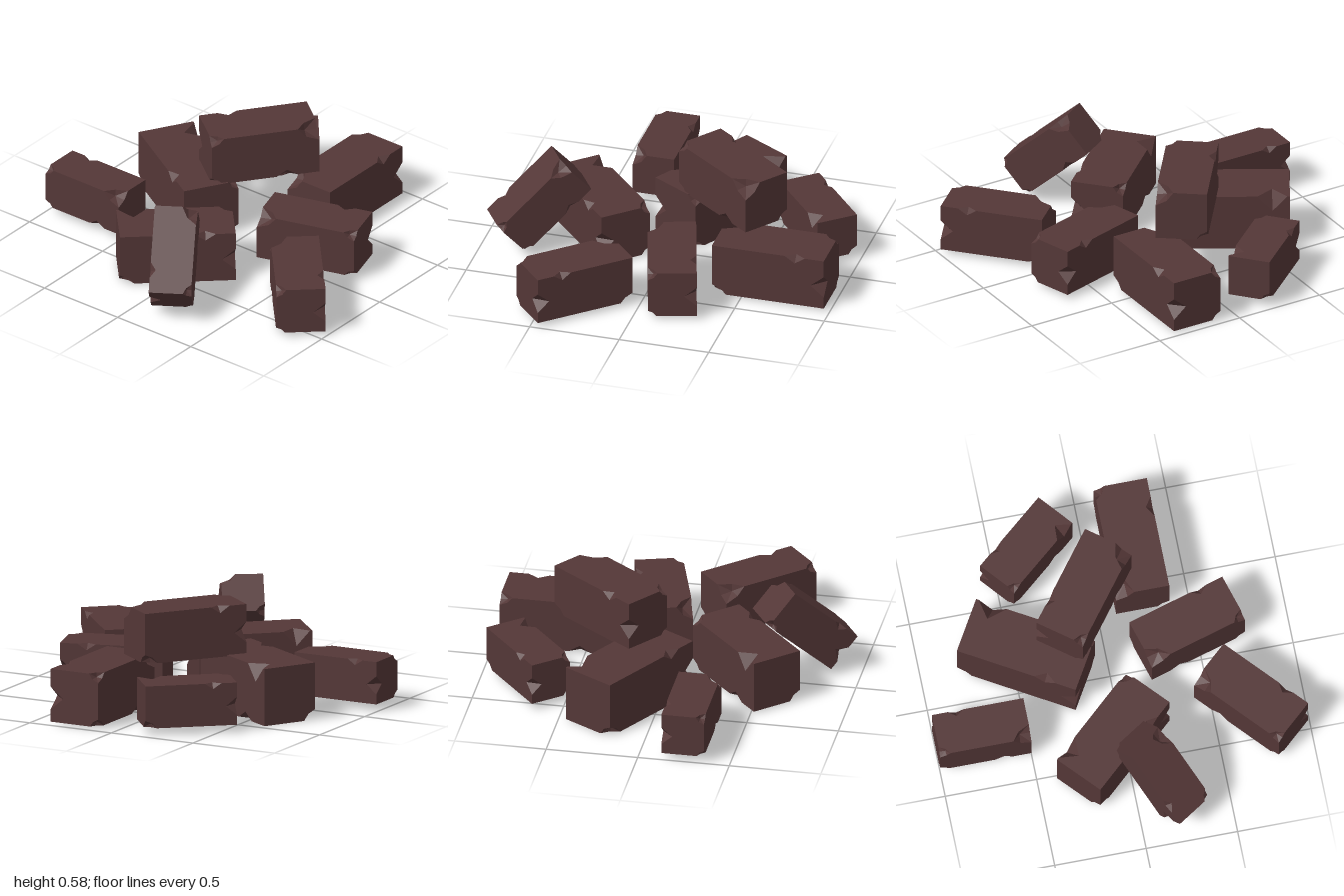
import * as THREE from 'three';

const material = new THREE.MeshStandardMaterial({ color: 0x543737, flatShading: true });

// Brick block with chipped corners and notched edges.
// corners: [sx, sy, sz, cut]   edges: [axis, sign1, sign2, position -1..1, halfWidth, depth]
// (sign1 and sign2 belong to the two axes following the edge axis in x-y-z order)
function brickGeometry(size, corners, edges) {
  const half = size.map((s) => s / 2);
  const out = [];
  const tri = (a, b, c, flip) => out.push(...a, ...(flip ? c : b), ...(flip ? b : c));
  const cutLengths = (c) => [c * 1.25, c * 0.85, c];
  const findCorner = (s) => corners.find((c) => s.every((sign, i) => c[i] === sign));

  // Six faces, each outline stepping around its chips
  for (let k = 0; k < 3; k++) for (const side of [-1, 1]) {
    const axes = [(k + 1) % 3, (k + 2) % 3];
    const outline = [];
    for (let i = 0; i < 4; i++) {
      const sg = [i === 1 || i === 2 ? 1 : -1, i < 2 ? -1 : 1];
      const s = [0, 0, 0];
      s[k] = side; s[axes[0]] = sg[0]; s[axes[1]] = sg[1];
      const at = (iu, iv) => new THREE.Vector2(
        sg[0] * (half[axes[0]] - iu), sg[1] * (half[axes[1]] - iv));
      const chip = findCorner(s);
      if (chip) {
        const c = cutLengths(chip[3]), cu = c[axes[0]], cv = c[axes[1]];
        const ring = [at(0, cv), at(cu * 0.62, cv * 0.62), at(cu, 0)];
        outline.push(...(i % 2 ? ring.reverse() : ring));
      } else outline.push(at(0, 0));

      // Notches on the edge leading to the next corner
      const e = i % 2, o = 1 - e, dir = i < 2 ? 1 : -1;
      const ax = axes[e];
      edges.filter((n) => n[0] === ax && n[1] === s[(ax + 1) % 3] && n[2] === s[(ax + 2) % 3])
        .sort((a, b) => dir * (a[3] - b[3]))
        .forEach(([, , , t, w, d]) => {
          for (const step of [-1, 0, 1]) {
            const p = [0, 0];
            p[e] = t * half[ax] + dir * step * w;
            p[o] = sg[o] * (half[axes[o]] - (step ? 0 : d));
            outline.push(new THREE.Vector2(...p));
          }
        });
    }
    const points = outline.map((p) => {
      const v = [0, 0, 0];
      v[k] = side * half[k]; v[axes[0]] = p.x; v[axes[1]] = p.y;
      return v;
    });
    for (const [a, b, c] of THREE.ShapeUtils.triangulateShape(outline, []))
      tri(points[a], points[b], points[c], side < 0);
  }

  // Hollow broken surface of each corner chip
  for (const [sx, sy, sz, cut] of corners) {
    const s = [sx, sy, sz], c = cutLengths(cut), m = 0.62;
    const at = (f) => s.map((sign, i) => sign * (half[i] - f[i] * c[i]));
    const ring = [[1, 0, 0], [m, m, 0], [0, 1, 0], [0, m, m], [0, 0, 1], [m, 0, m]].map(at);
    const centre = at([0.58, 0.52, 0.58]);
    ring.forEach((p, i) => tri(centre, p, ring[(i + 1) % 6], sx * sy * sz < 0));
  }

  // Wedge surfaces of each edge notch
  for (const [e, s1, s2, t, w, d] of edges) {
    const at = (along, d1, d2) => {
      const v = [0, 0, 0], a = (e + 1) % 3, b = (e + 2) % 3;
      v[e] = t * half[e] + along;
      v[a] = s1 * (half[a] - d1);
      v[b] = s2 * (half[b] - d2);
      return v;
    };
    const p = at(0, d, 0), q = at(0, 0, d), flip = s1 * s2 < 0;
    tri(at(-w, 0, 0), p, q, flip);
    tri(at(w, 0, 0), q, p, flip);
  }

  const geometry = new THREE.BufferGeometry();
  geometry.setAttribute('position', new THREE.Float32BufferAttribute(out, 3));
  geometry.computeVertexNormals();
  return geometry;
}

// One brick of the given length; sx and sz choose the end and side with the heaviest wear,
// which is either a broken corner or a notch beside the corner
function makeBrick({ name, length, x, z, turn, sx, sz, y = 0.16, tilt = 0, notched = false }) {
  const corners = [
    [-sx, 1, sz, length * 0.09],
    [sx, -1, -sz, length * 0.1],
    [-sx, -1, sz, length * 0.08],
  ];
  const edges = [
    [0, 1, -sz, -sx * 0.48, length * 0.09, length * 0.06],
    [0, -1, sz, sx * 0.4, length * 0.1, length * 0.06],
    [1, -sz, -sx, -0.1, length * 0.1, length * 0.12],
  ];
  if (notched) edges.push([0, 1, sz, sx * 0.72, length * 0.12, length * 0.13]);
  else corners.push([sx, 1, sz, length * 0.16]);

  const size = [length, length * 0.465, length * 0.465];
  const brick = new THREE.Mesh(brickGeometry(size, corners, edges), material);
  brick.name = name;
  brick.position.set(x, y, z);
  brick.rotation.set(0, turn, tilt, 'YXZ');
  return brick;
}

const bricks = [
  { name: 'backBrick', length: 0.5, x: -0.245, z: -0.75, turn: 1.571, sx: -1, sz: -1 },
  { name: 'largeBackBrick', length: 0.675, x: 0.155, z: -0.43, turn: 1.04, sx: 1, sz: 1, notched: true },
  { name: 'rightBrick', length: 0.5, x: 0.73, z: -0.315, turn: -0.87, sx: 1, sz: 1, notched: true },
  { name: 'upperBrick', length: 0.596, x: 0.323, z: -0.08, turn: -0.648, sx: 1, sz: 1, y: 0.448 },
  { name: 'frontRightBrick', length: 0.625, x: 0.653, z: 0.245, turn: 0, sx: -1, sz: -1 },
  { name: 'frontBrick', length: 0.563, x: 0.135, z: 0.447, turn: -1.283, sx: -1, sz: 1 },
  { name: 'frontLeftBrick', length: 0.566, x: -0.335, z: 0.705, turn: 0.735, sx: 1, sz: -1 },
  { name: 'leftBrick', length: 0.623, x: -0.415, z: -0.065, turn: -0.831, sx: -1, sz: -1, notched: true },
  { name: 'leaningBrick', length: 0.49, x: -0.695, z: 0.145, turn: 0.577, sx: 1, sz: 1, y: 0.295, tilt: 0.74 },
];

export function createModel() {
  const model = new THREE.Group();
  model.name = 'brickPile';
  for (const brick of bricks) model.add(makeBrick(brick));
  return model;
}
